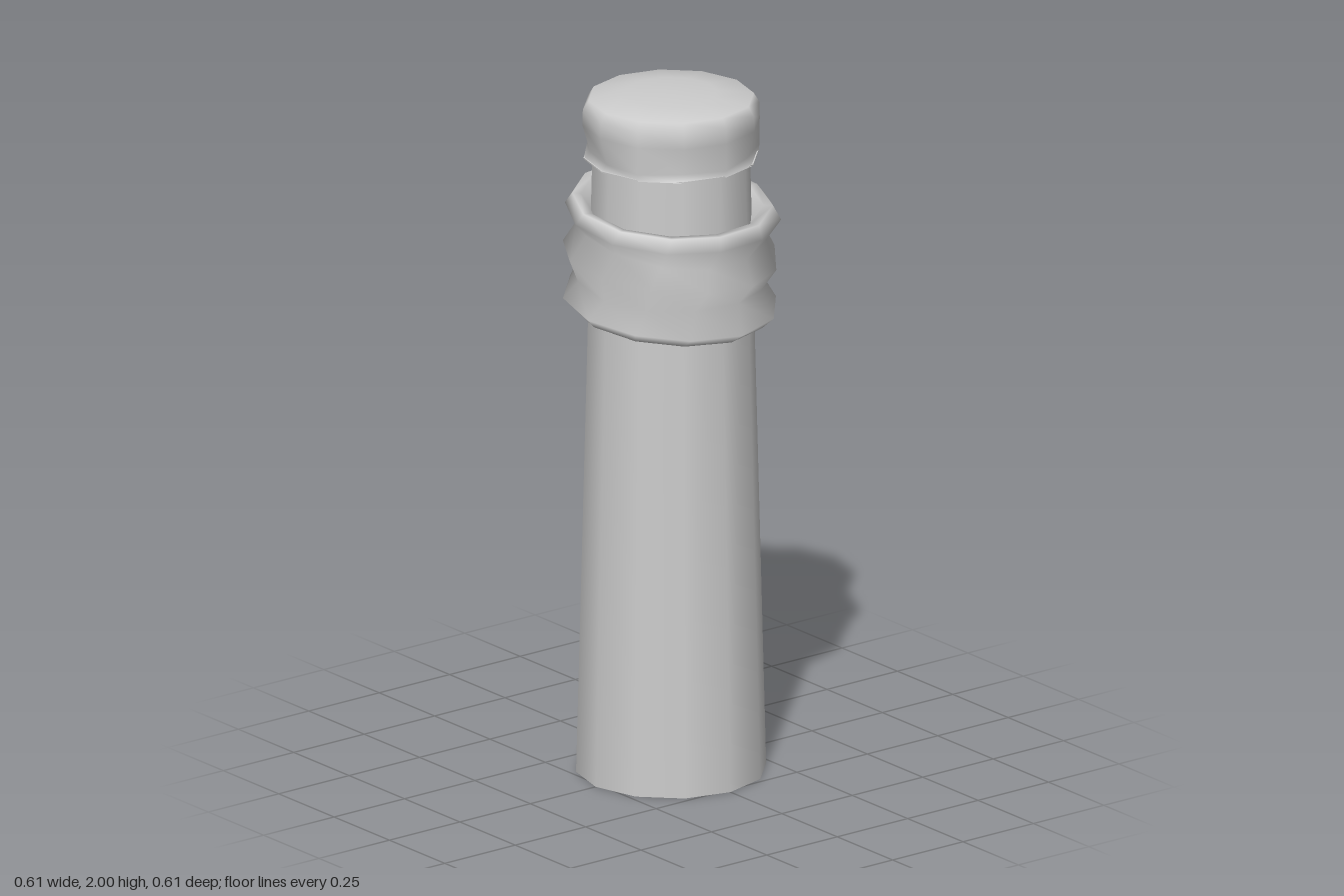
import * as THREE from 'three';
import { mergeVertices } from 'three/addons/utils/BufferGeometryUtils.js';

const SIDES = 12;

// Smooth turned surface (profile runs bottom to top); warp(v, angle) reshapes each vertex.
function turned(profile, warp) {
  let geo = new THREE.LatheGeometry(profile.map(([r, y]) => new THREE.Vector2(r, y)), SIDES);
  geo.deleteAttribute('uv');
  geo.deleteAttribute('normal');
  geo = mergeVertices(geo, 1e-4);
  const pos = geo.attributes.position;
  const v = new THREE.Vector3();
  for (let i = 0; i < pos.count; i++) {
    v.fromBufferAttribute(pos, i);
    warp(v, Math.atan2(v.x, v.z));
    pos.setXYZ(i, v.x, v.y, v.z);
  }
  geo.computeVertexNormals();
  return geo;
}

export function createModel() {
  const group = new THREE.Group();
  const grey = new THREE.MeshStandardMaterial({ color: 0xcccccc });
  grey.name = 'plain grey';
  const add = (name, geo, y = 0) => {
    const mesh = new THREE.Mesh(geo, grey);
    mesh.name = name;
    mesh.position.y = y;
    group.add(mesh);
  };

  // Tapered post
  add('post', new THREE.CylinderGeometry(0.222, 0.268, 1.83, SIDES), 0.915);

  // Worn cap: chips cut under the rim at a few angles
  const chips = [-0.25, 1.05, 2.1, -2.3];
  add('cap', turned(
    [[0.247, 1.81], [0.249, 1.83], [0.25, 1.91], [0.249, 1.955], [0.233, 1.982], [0.13, 1.995], [0, 2]],
    (v, a) => {
      if (v.y < 1.82 || v.y > 1.9) return;
      const near = chips.some(c => Math.abs(c - a) < 0.3);
      if (near) { v.x *= 0.915; v.z *= 0.915; }
    }));
  add('capUnderside', new THREE.CylinderGeometry(0.247, 0.247, 0.004, SIDES), 1.812);

  // Rope wrap: three bulging coils, tilted down to the left side and slightly twisted
  const up = new THREE.Vector3(0, 1, 0);
  add('ropeWrap', turned(
    [[0.22, 1.385], [0.27, 1.36], [0.302, 1.39], [0.265, 1.455], [0.303, 1.525],
      [0.265, 1.59], [0.302, 1.645], [0.28, 1.68], [0.255, 1.678], [0.222, 1.62]],
    (v, a) => {
      const swell = 1 + 0.018 * Math.sin(3 * a + v.y * 20);
      const sag = 0.012 * Math.sin(2 * a + v.y * 25);
      const middle = v.y > 1.42 && v.y < 1.62;
      v.applyAxisAngle(up, (v.y - 1.36) * 1.2);
      v.x *= swell;
      v.z *= swell;
      v.y += -0.11 * v.x + (middle ? sag : 0);
    }));

  return group;
}
